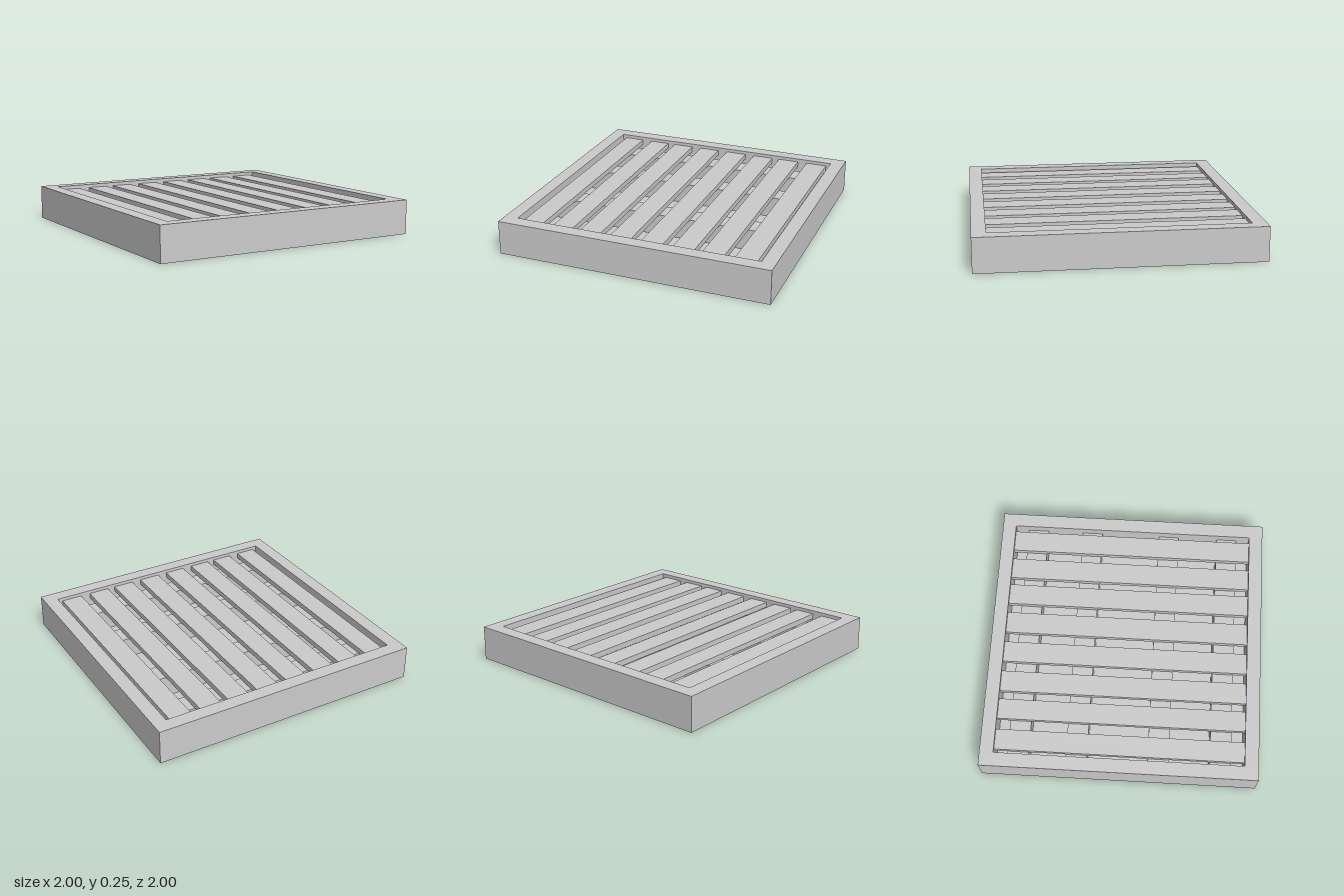
import * as THREE from 'three';

const HEIGHT = 0.25, INNER = 0.9;
const FLOOR_Y = 0.03, BAR_TOP = 0.185, SLAT_TOP = 0.225;

export function createModel() {
  const model = new THREE.Group();
  const material = new THREE.MeshStandardMaterial({ color: 0xcccccc, flatShading: true, side: THREE.DoubleSide });

  const add = (name, geometry, x = 0, y = 0, z = 0) => {
    const mesh = new THREE.Mesh(geometry, material);
    mesh.name = name;
    mesh.position.set(x, y, z);
    model.add(mesh);
    return mesh;
  };

  // Box given by its extents on each axis
  const block = (name, [x0, x1], [y0, y1], [z0, z1]) =>
    add(name, new THREE.BoxGeometry(x1 - x0, y1 - y0, z1 - z0), (x0 + x1) / 2, (y0 + y1) / 2, (z0 + z1) / 2);

  // Square ring of upright walls, made as an open four-sided tube
  const wallRing = (name, half, y0, y1) => {
    const radius = half * Math.SQRT2;
    const geometry = new THREE.CylinderGeometry(radius, radius, y1 - y0, 4, 1, true).rotateY(Math.PI / 4);
    add(name, geometry, 0, (y0 + y1) / 2, 0);
  };

  // Hollow frame: outer skin, inner skin and top rim, open underneath
  wallRing('frameOuterWall', 1, 0, HEIGHT);
  wallRing('frameInnerWall', INNER, FLOOR_Y, HEIGHT);
  const square = (half, Type) => new Type([[-1, -1], [1, -1], [1, 1], [-1, 1]]
    .map(([x, y]) => new THREE.Vector2(x * half, y * half)));
  const rim = square(1, THREE.Shape);
  rim.holes.push(square(INNER, THREE.Path));
  add('frameTopRim', new THREE.ShapeGeometry(rim).rotateX(-Math.PI / 2), 0, HEIGHT, 0);

  // Thin floor panel closing the inside of the frame
  add('floorPanel', new THREE.PlaneGeometry(2 * INNER, 2 * INNER).rotateX(Math.PI / 2), 0, FLOOR_Y, 0);

  // Cross bars running side to side under the slats
  for (const z of [[-0.805, -0.652], [-0.385, -0.232], [0.205, 0.358], [0.652, 0.805]])
    block('crossBar', [-INNER, INNER], [FLOOR_Y, BAR_TOP], z);

  // Slats running front to back with slightly uneven gaps
  const slats = [[-0.87, -0.72], [-0.64, -0.49], [-0.43, -0.275], [-0.2, -0.045],
    [0.03, 0.19], [0.262, 0.418], [0.475, 0.633], [0.705, 0.863]];
  for (const x of slats)
    block('slat', x, [BAR_TOP, SLAT_TOP], [-INNER, INNER]);

  return model;
}
